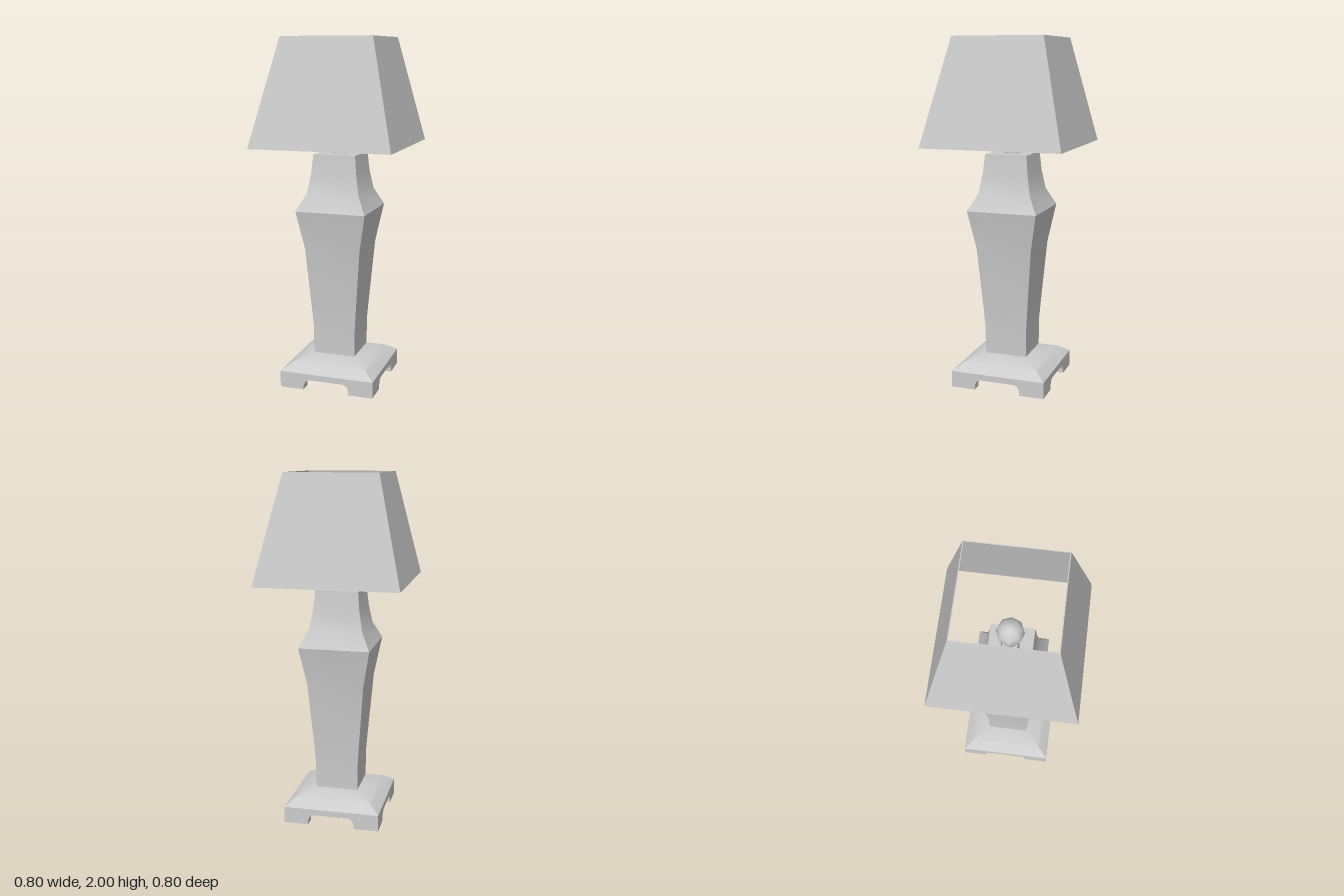
import * as THREE from 'three';
import { toCreasedNormals } from 'three/addons/utils/BufferGeometryUtils.js';

const material = new THREE.MeshStandardMaterial({ color: 0xcccccc });

function add(parent, name, geometry) {
  const mesh = new THREE.Mesh(geometry, material);
  mesh.name = name;
  parent.add(mesh);
  return mesh;
}

// Square-section solid from a bottom-to-top profile of [half width, height]
function squareLoft(profile) {
  const points = profile.map(([half, y]) => new THREE.Vector2(half * Math.SQRT2, y));
  const lathe = new THREE.LatheGeometry(points, 4, Math.PI / 4);
  return toCreasedNormals(lathe, THREE.MathUtils.degToRad(30));
}

// One arm of an L-shaped foot, with a rounded bracket on its inner end
function footArm(side) {
  const outline = [[0.278, 0], [0.278, 0.06], [0.105, 0.06], [0.125, 0.048], [0.135, 0.025], [0.135, 0]];
  const shape = new THREE.Shape(outline.map(([x, y]) => new THREE.Vector2(side * x, y)));
  const geometry = new THREE.ExtrudeGeometry(shape, { depth: 0.06, bevelEnabled: false });
  return geometry.translate(0, 0, 0.218);
}

export function createModel() {
  const lamp = new THREE.Group();
  lamp.name = 'tableLamp';

  // Base: sloped plinth on four bracket feet
  const base = new THREE.Group();
  base.name = 'base';
  lamp.add(base);
  add(base, 'plinth', squareLoft([
    [0, 0.06], [0.278, 0.06], [0.278, 0.095], [0.22, 0.138], [0.124, 0.175], [0, 0.175],
  ]));
  for (let i = 0; i < 4; i++) {
    for (const side of [-1, 1]) {
      add(base, 'footArm', footArm(side)).rotation.y = i * Math.PI / 2;
    }
  }

  // Body: tapered square column with a sharp shoulder
  add(lamp, 'body', squareLoft([
    [0.124, 0.175], [0.126, 0.34], [0.134, 0.45], [0.163, 0.81], [0.204, 1.03],
    [0.153, 1.13], [0.133, 1.24], [0.123, 1.35], [0, 1.35],
  ]));

  // Socket and bulb
  const socket = add(lamp, 'socket', new THREE.CylinderGeometry(0.05, 0.05, 0.08, 8));
  socket.position.y = 1.39;
  const bulbProfile = [
    [0.035, 1.42], [0.037, 1.45], [0.052, 1.49], [0.071, 1.53], [0.076, 1.565],
    [0.068, 1.6], [0.045, 1.627], [0.011, 1.64], [0, 1.64],
  ];
  add(lamp, 'bulb', new THREE.LatheGeometry(bulbProfile.map(([r, y]) => new THREE.Vector2(r, y)), 8));

  // Shade: thin open shell
  add(lamp, 'shade', squareLoft([
    [0.402, 1.4], [0.261, 2], [0.256, 2], [0.397, 1.4], [0.402, 1.4],
  ]));

  return lamp;
}
